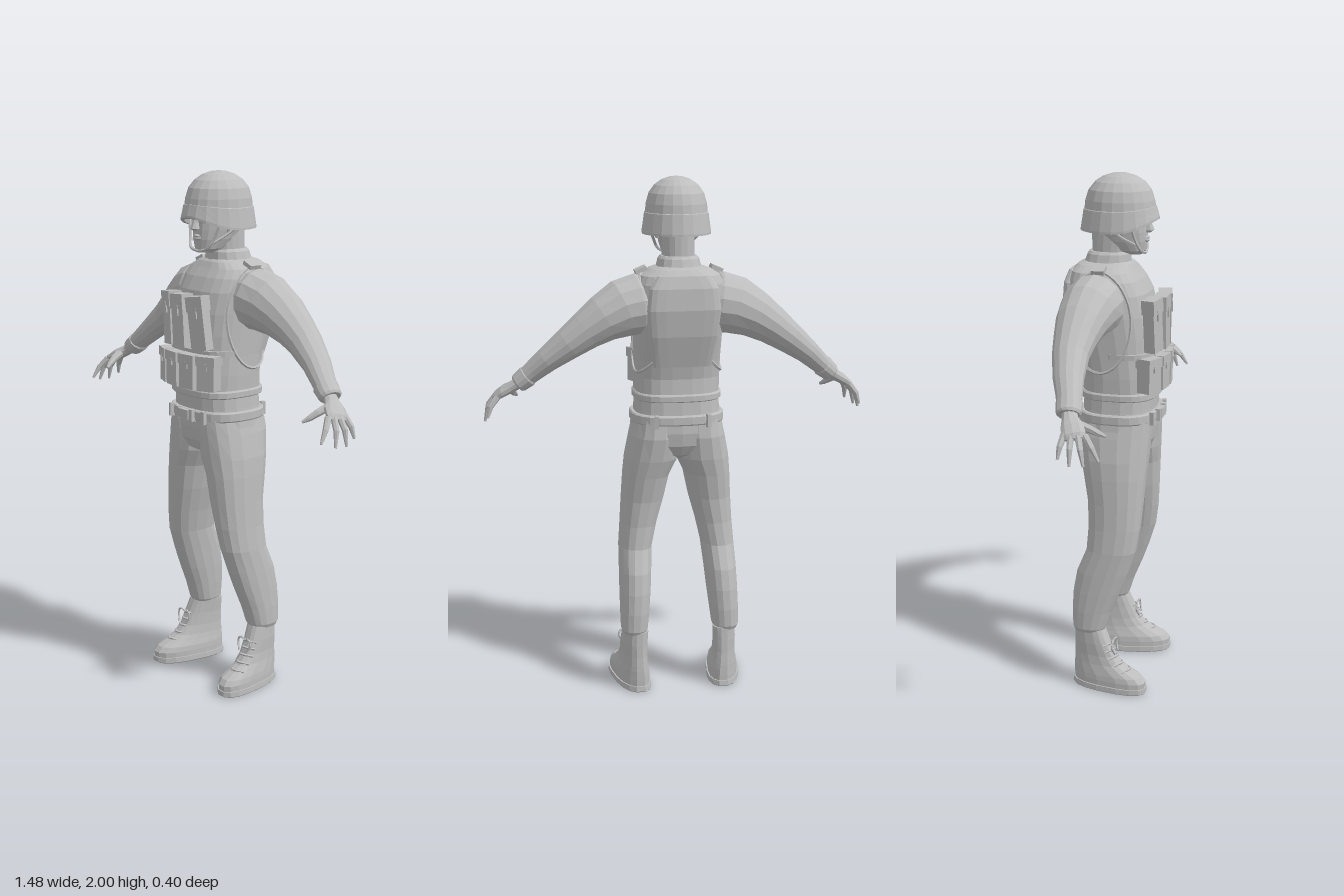
import * as THREE from 'three';

const cloth = new THREE.MeshStandardMaterial({ color: 0xbdbdbd, flatShading: true });
cloth.name = 'plain grey';

const V = (x, y, z) => new THREE.Vector3(x, y, z);
const spow = (v, e) => Math.sign(v) * Math.pow(Math.abs(v), e);

function add(parent, name, geometry) {
  const m = new THREE.Mesh(geometry, cloth);
  m.name = name;
  parent.add(m);
  return m;
}

// Closed skin over rings of points, capped at both ends and turned outward
function loft(rings) {
  const n = rings[0].length, pts = rings.flat(), idx = [];
  for (let r = 0; r < rings.length - 1; r++) {
    for (let i = 0; i < n; i++) {
      const a = r * n + i, b = r * n + (i + 1) % n;
      idx.push(a, a + n, b, b, a + n, b + n);
    }
  }
  [0, rings.length - 1].forEach((r, end) => {
    const mid = rings[r].reduce((s, p) => s.add(p), V(0, 0, 0)).divideScalar(n);
    const c = pts.push(mid) - 1;
    for (let i = 0; i < n; i++) {
      const a = r * n + i, b = r * n + (i + 1) % n;
      if (end) idx.push(c, b, a); else idx.push(c, a, b);
    }
  });
  let volume = 0;
  for (let i = 0; i < idx.length; i += 3)
    volume += pts[idx[i]].dot(V(0, 0, 0).crossVectors(pts[idx[i + 1]], pts[idx[i + 2]]));
  if (volume < 0) idx.reverse();
  const g = new THREE.BufferGeometry().setFromPoints(pts);
  g.setIndex(idx);
  g.computeVertexNormals();
  return g;
}

// Upright form from level sections [y, xMin, xMax, zBack, zFront]
function stack(sections, { s = 1, n = 18, p = 2.3, skew = 0 } = {}) {
  return loft(sections.map(([y, x0, x1, z0, z1]) => Array.from({ length: n }, (_, i) => {
    const a = (i + 0.5) / n * Math.PI * 2;
    const z = (z0 + z1) / 2 + (z1 - z0) / 2 * spow(Math.sin(a), 2 / p);
    const x = (x0 + x1) / 2 + (x1 - x0) / 2 * spow(Math.cos(a), 2 / p);
    return V(s * (x + skew * z), y, z);
  })));
}
const sym = rows => rows.map(([y, w, z0, z1]) => [y, -w, w, z0, z1]);

// Limb along a path of [x, y, z, radius across, radius in depth]
function limb(path, s = 1, n = 12) {
  const c = path.map(q => V(s * q[0], q[1], q[2]));
  return loft(path.map((q, k) => {
    const t = c[Math.min(k + 1, c.length - 1)].clone().sub(c[Math.max(k - 1, 0)]).normalize();
    const b = V(0, 0, 1).addScaledVector(t, -t.z).normalize();
    const u = V(0, 0, 0).crossVectors(t, b);
    return Array.from({ length: n }, (_, i) => {
      const a = i / n * Math.PI * 2;
      return c[k].clone().addScaledVector(u, q[3] * Math.cos(a)).addScaledVector(b, q[4] * Math.sin(a));
    });
  }));
}

const cord = (pts, r, closed = false, seg = 12) =>
  new THREE.TubeGeometry(new THREE.CatmullRomCurve3(pts.map(q => V(...q)), closed), seg, r, 5, closed);

const VEST = [[1.165, .162, -.138, .145], [1.25, .165, -.135, .14], [1.32, .165, -.15, .137],
  [1.4, .167, -.175, .137], [1.48, .17, -.195, .13], [1.56, .172, -.2, .112], [1.61, .168, -.192, .085],
  [1.642, .152, -.18, .06], [1.664, .11, -.16, .045], [1.675, .07, -.13, .03]];

// Side surface of the vest at a height and depth
function vestX(y, z) {
  const k = Math.max(0, VEST.findIndex(r => r[0] > y) - 1), A = VEST[k], B = VEST[k + 1];
  const f = (y - A[0]) / (B[0] - A[0]), [w, z0, z1] = [1, 2, 3].map(i => A[i] + (B[i] - A[i]) * f);
  const t = Math.min(.97, Math.abs(z - (z0 + z1) / 2) / ((z1 - z0) / 2));
  return w * Math.pow(1 - Math.pow(t, 2.8), 1 / 2.8);
}

function buildHead(g) {
  add(g, 'head', stack(sym([[1.7, .028, .03, .08], [1.715, .048, -.03, .095], [1.75, .063, -.08, .1],
    [1.785, .071, -.105, .1], [1.81, .075, -.115, .098], [1.84, .077, -.115, .104], [1.88, .075, -.11, .1],
    [1.93, .05, -.07, .07]])));
  add(g, 'neck', stack(sym([[1.64, .07, -.12, .03], [1.7, .06, -.112, .025], [1.79, .062, -.112, .04]])));
  add(g, 'nose', stack(sym([[1.782, .012, .085, .112], [1.79, .017, .085, .126], [1.81, .011, .085, .118],
    [1.845, .007, .085, .106]]), { n: 8 }));
  add(g, 'mouth', stack(sym([[1.746, .016, .08, .102], [1.753, .024, .08, .107], [1.759, .024, .08, .104],
    [1.764, .02, .08, .108], [1.77, .012, .08, .102]]), { n: 10 }));

  // Helmet shell, with the front of the rim lifted over the brow
  const profile = [[0, 1.88], [.108, 1.86], [.119, 1.79], [.131, 1.787], [.131, 1.795], [.126, 1.83],
    [.121, 1.866], [.118, 1.868], [.115, 1.9], [.104, 1.938], [.083, 1.967], [.055, 1.987], [.026, 1.997], [0, 2]];
  const shell = new THREE.LatheGeometry(profile.map(q => new THREE.Vector2(...q)), 20);
  const p = shell.attributes.position;
  for (let i = 0; i < p.count; i++) {
    const y = p.getY(i), f = Math.max(0, p.getZ(i) / .13), low = Math.max(0, Math.min(1, (1.9 - y) / .1));
    p.setXYZ(i, p.getX(i), y + .045 * f * f * low, p.getZ(i) * 1.14 - .006);
  }
  shell.computeVertexNormals();
  add(g, 'helmet', shell);

  for (const s of [1, -1]) {
    add(g, 'chinStrapFront', cord([[s * .095, 1.82, .06], [s * .076, 1.765, .07], [s * .05, 1.718, .088], [0, 1.705, .09]], .006));
    add(g, 'chinStrapBack', cord([[s * .1, 1.81, -.03], [s * .083, 1.77, .02], [s * .066, 1.74, .072]], .005));
    add(g, 'ear', stack([[1.77, .068, .078, -.015, .01], [1.8, .07, .09, -.025, .018], [1.83, .07, .09, -.025, .02]], { s, n: 8 }));
  }
}

function buildTorso(g) {
  add(g, 'vest', stack(sym(VEST), { n: 24, p: 2.8 }));
  add(g, 'vestHem', stack(sym([[1.162, .165, -.142, .15], [1.166, .17, -.147, .154], [1.186, .17, -.147, .154],
    [1.192, .165, -.142, .15]]), { n: 24, p: 2.8 }));
  add(g, 'shirtWaist', stack(sym([[1.06, .172, -.142, .14], [1.12, .165, -.138, .138], [1.18, .16, -.135, .138]]), { p: 2.6 }));
  add(g, 'collar', stack(sym([[1.64, .098, -.155, .045], [1.672, .084, -.14, .036], [1.7, .077, -.13, .034],
    [1.71, .068, -.122, .028]]), { n: 14 }));
  add(g, 'backPanel', stack(sym([[1.3, .11, -.15, -.1], [1.42, .13, -.187, -.1], [1.52, .14, -.204, -.1],
    [1.6, .13, -.2, -.1], [1.645, .1, -.185, -.1]]), { n: 16, p: 5 }));
  for (const s of [1, -1]) {
    const hole = Array.from({ length: 20 }, (_, i) => {
      const a = i / 20 * Math.PI * 2, y = 1.46 + .19 * Math.sin(a), z = -.05 + .125 * Math.cos(a);
      return [s * (vestX(y, z) + .002), y, z];
    });
    add(g, 'armholeTrim', cord(hole, .006, true, 40));
    const pad = add(g, 'shoulderTab', new THREE.BoxGeometry(.045, .016, .05));
    pad.position.set(s * .145, 1.658, -.05);
    pad.rotation.z = -s * .4;
  }
}

// A pouch with a flap and a fastening tab, resting on its base
function pouch(g, name, w, h, d, [x, y, z], yaw, tilt) {
  const q = new THREE.Group();
  q.name = name;
  const box = (part, bw, bh, bd, py, pz) => add(q, part, new THREE.BoxGeometry(bw, bh, bd)).position.set(0, py, pz);
  box('pouchBody', w, h, d, h / 2, 0);
  box('pouchFlap', w + .006, h * .28, d + .008, h * .87, 0);
  box('pouchTab', w * .25, h * .2, .006, h * .7, d / 2 + .003);
  q.position.set(x, y, z);
  q.rotation.set(0, yaw, tilt);
  g.add(q);
}

function buildGear(g) {
  for (const [x, z, yaw] of [[-.122, .137, -.4], [-.042, .158, -.12], [.042, .158, .12], [.122, .137, .4]])
    pouch(g, 'lowerPouch', .073, .13, .058, [x, 1.2, z], yaw, 0);
  for (const [x, z, yaw, tilt] of [[-.085, .147, -.25, .09], [-.003, .16, 0, .07], [.097, .147, .25, .13]])
    pouch(g, 'upperPouch', .069, .2, .045, [x, 1.35, z], yaw, tilt);
  add(g, 'pouchStrip', stack(sym([[1.325, .166, -.1, .15], [1.345, .167, -.1, .15]]), { n: 24, p: 2.8 }));
  // Belt with buckle and loops
  add(g, 'belt', stack(sym([[1.073, .178, -.15, .15], [1.078, .181, -.153, .154], [1.106, .181, -.153, .154],
    [1.111, .176, -.148, .15]]), { n: 24, p: 2.6 }));
  add(g, 'buckle', new THREE.BoxGeometry(.06, .036, .022)).position.set(0, 1.092, .157);
  for (const s of [1, -1]) {
    add(g, 'buckleEnd', new THREE.BoxGeometry(.02, .046, .02)).position.set(s * .042, 1.092, .155);
    for (const z of [.146, -.145]) {
      const loop = add(g, 'beltLoop', new THREE.BoxGeometry(.016, .05, .018));
      loop.position.set(s * .1, 1.09, z);
      loop.rotation.y = s * Math.sign(z) * .25;
    }
  }
}

function buildArm(g, s) {
  add(g, 'sleeve', limb([[.1, 1.53, -.055, .1, .1], [.16, 1.53, -.06, .116, .115], [.22, 1.516, -.07, .11, .108],
    [.29, 1.482, -.078, .091, .094], [.355, 1.44, -.08, .075, .079], [.42, 1.393, -.078, .062, .067],
    [.5, 1.332, -.062, .048, .056], [.55, 1.288, -.045, .041, .048], [.6, 1.245, -.03, .034, .042]], s, 14));
  add(g, 'cuff', limb([[.57, 1.27, -.037, .038, .044], [.574, 1.266, -.037, .042, .049], [.606, 1.24, -.03, .037, .046],
    [.612, 1.235, -.029, .032, .04]], s, 14));
  add(g, 'palm', limb([[.595, 1.247, -.03, .022, .028], [.63, 1.224, -.018, .022, .03], [.66, 1.207, -.002, .021, .042],
    [.688, 1.187, .012, .016, .044], [.698, 1.175, .016, .01, .038]], s, 10));
  const fingers = [[[.688, 1.187, -.023], [.716, 1.15, -.031], [.728, 1.108, -.036]],
    [[.692, 1.185, .002], [.723, 1.145, .006], [.736, 1.088, .008]],
    [[.69, 1.185, .027], [.72, 1.145, .043], [.732, 1.09, .057]],
    [[.682, 1.187, .048], [.702, 1.15, .078], [.71, 1.106, .105]]];
  for (const [a, b, c] of fingers)
    add(g, 'finger', limb([[...a, .013, .013], [...b, .011, .011], [...c, .005, .005]], s, 7));
  add(g, 'thumb', limb([[.64, 1.215, .008, .016, .016], [.63, 1.195, .052, .014, .015], [.618, 1.178, .08, .011, .011],
    [.606, 1.165, .102, .005, .005]], s, 7));
}

function buildLeg(g, s) {
  add(g, 'trouserLeg', stack([[1.09, .0, .168, -.14, .14], [1.02, -.01, .185, -.146, .138], [.93, -.004, .203, -.132, .132],
    [.86, .03, .21, -.115, .126], [.76, .052, .216, -.096, .12], [.66, .08, .222, -.09, .113], [.57, .1, .229, -.095, .1],
    [.48, .108, .232, -.132, .072], [.4, .114, .234, -.146, .042], [.32, .122, .235, -.15, .008],
    [.25, .13, .234, -.147, -.015], [.235, .138, .227, -.14, -.024]], { s, n: 16 }));
  const skew = .16;
  add(g, 'boot', stack([[.02, .13, .25, -.145, .15], [.045, .13, .25, -.146, .152], [.065, .132, .248, -.146, .135],
    [.085, .138, .244, -.146, .095], [.105, .143, .24, -.145, .06], [.14, .147, .237, -.143, .03], [.19, .148, .238, -.143, .006],
    [.245, .145, .236, -.142, -.018]], { s, n: 16, skew, p: 2.5 }));
  add(g, 'sole', stack([[0, .128, .252, -.148, .15], [.004, .124, .256, -.152, .155], [.024, .125, .255, -.15, .155]],
    { s, n: 16, skew, p: 2.5 }));
  // Laces climbing the front of the boot
  for (const [y, z, w] of [[.09, .085, .036], [.112, .053, .035], [.138, .033, .034], [.164, .02, .033], [.188, .009, .032]]) {
    const x = .193 + skew * z;
    add(g, 'lace', cord([[s * (x - w), y - .004, z - .025], [s * x, y + .004, z + .004], [s * (x + w), y - .004, z - .025]], .005, false, 6));
  }
  for (const d of [1, -1])
    add(g, 'laceBow', cord([[s * .195, .19, .01], [s * (.195 + d * .022), .205, .022], [s * (.195 + d * .036), .185, .02],
      [s * (.195 + d * .02), .15, .03]], .004, false, 8));
}

export function createModel() {
  const g = new THREE.Group();
  g.name = 'soldier';
  buildHead(g);
  buildTorso(g);
  buildGear(g);
  // Trouser seat joining the legs
  add(g, 'trouserSeat', stack(sym([[.925, .03, -.06, .06], [.95, .11, -.115, .115], [.99, .17, -.138, .134],
    [1.04, .18, -.146, .14], [1.1, .172, -.143, .142]]), { p: 2.5 }));
  for (const s of [1, -1]) {
    const arm = new THREE.Group(), leg = new THREE.Group();
    arm.name = s > 0 ? 'leftArm' : 'rightArm';
    leg.name = s > 0 ? 'leftLeg' : 'rightLeg';
    buildArm(arm, s);
    buildLeg(leg, s);
    g.add(arm, leg);
  }
  return g;
}
